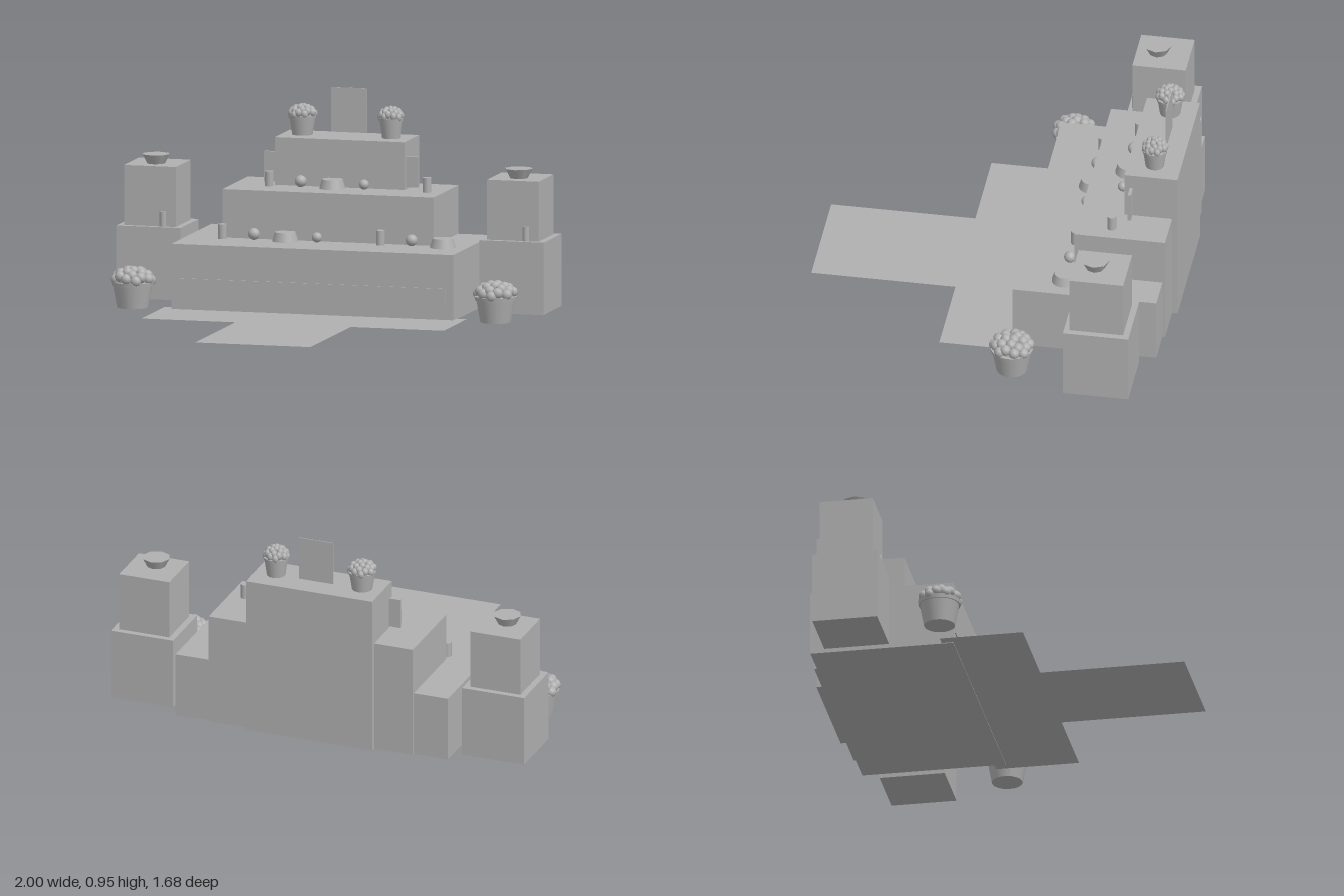
import * as THREE from 'three';

export function createModel() {
  const model = new THREE.Group();
  const grey = new THREE.MeshStandardMaterial({ color: 0xb0b0b0 });
  grey.name = 'plain grey';
  grey.side = THREE.DoubleSide;

  const add = (name, geometry, x, y, z, parent = model) => {
    const mesh = new THREE.Mesh(geometry, grey);
    mesh.name = name;
    mesh.position.set(x, y, z);
    parent.add(mesh);
    return mesh;
  };
  // Box given by its extents
  const block = (name, x0, x1, y0, y1, z0, z1) =>
    add(name, new THREE.BoxGeometry(x1 - x0, y1 - y0, z1 - z0), (x0 + x1) / 2, (y0 + y1) / 2, (z0 + z1) / 2);
  // Round part standing on height y
  const round = (name, rTop, rBottom, h, x, y, z, sides = 16, parent = model) =>
    add(name, new THREE.CylinderGeometry(rTop, rBottom, h, sides), x, y + h / 2, z, parent);

  // Stepped display tiers, each reaching the ground
  block('lowerTier', -0.66, 0.66, 0, 0.3, -0.803, -0.147);
  block('middleTier', -0.495, 0.495, 0, 0.52, -0.815, -0.402);
  block('upperTier', -0.305, 0.305, 0, 0.737, -0.84, -0.598);
  block('frontPanel', -0.625, 0.625, 0.065, 0.145, -0.147, -0.142);
  block('backBoard', -0.362, 0.362, 0.53, 0.668, -0.637, -0.622);
  block('topSign', -0.083, 0.083, 0.75, 0.953, -0.752, -0.748);

  // Floor carpet: wide strip and runner
  const carpet = (name, x, z0, z1) => {
    const g = new THREE.PlaneGeometry(2 * x, z1 - z0).rotateX(-Math.PI / 2);
    add(name, g, 0, 0.003, (z0 + z1) / 2);
  };
  carpet('wideCarpet', 0.708, -0.2, 0.18);
  carpet('carpetRunner', 0.27, 0.18, 0.84);

  // Goods on the steps
  const goods = {
    jar: (x, y, z) => round('jar', 0.02, 0.02, 0.067, x, y, z, 12),
    fruit: (x, y, z, r) => add('fruit', new THREE.SphereGeometry(r, 14, 10), x, y + r, z),
    cake: (x, y, z) => round('cake', 0.047, 0.059, 0.042, x, y, z, 18),
  };
  const rows = [
    [0.3, -0.366, [['jar', -0.485], ['fruit', -0.337, 0.027], ['cake', -0.19], ['fruit', -0.042, 0.023],
      ['jar', 0.255], ['fruit', 0.403, 0.027], ['cake', 0.55]]],
    [0.52, -0.56, [['jar', -0.32], ['fruit', -0.173, 0.027], ['cake', -0.025], ['fruit', 0.123, 0.023],
      ['jar', 0.42]]],
  ];
  for (const [y, z, items] of rows)
    for (const [kind, x, r] of items) goods[kind](x, y, z, r);

  // Flower pot with a dome of round blossoms
  const flowerPot = (x, y, z, scale, width, turn) => {
    const pot = new THREE.Group();
    pot.name = 'flowerPot';
    round('potBody', 0.09, 0.07, 0.11, 0, 0, 0, 18, pot);
    round('potRim', 0.097, 0.094, 0.018, 0, 0.1, 0, 18, pot);
    const dome = add('foliage', new THREE.SphereGeometry(0.08, 14, 8), 0, 0.118, 0, pot);
    dome.scale.y = 0.6;
    const count = 24;
    for (let i = 0; i < count; i++) {
      const up = 1 - (i + 0.3) / count;
      const ring = Math.sqrt(1 - up * up);
      const a = i * 2.39996;
      add('blossom', new THREE.SphereGeometry(0.025, 10, 7),
        Math.cos(a) * ring * 0.08, 0.122 + up * 0.043, Math.sin(a) * ring * 0.08, pot);
    }
    pot.position.set(x, y, z);
    pot.rotation.y = turn;
    pot.scale.set(width, scale, width);
    model.add(pot);
  };
  flowerPot(-0.21, 0.737, -0.72, 0.75, 0.66, 0.5);
  flowerPot(0.205, 0.737, -0.72, 0.77, 0.6, 2);

  // Side pedestals with bowl, small jar and standing flower pot
  for (const s of [-1, 1]) {
    const x = s * 0.85;
    block('pedestalBase', x - 0.15, x + 0.15, 0, 0.33, -0.732, -0.434);
    block('pedestalTop', x - 0.121, x + 0.121, 0.33, 0.603, -0.704, -0.46);
    round('bowl', 0.064, 0.042, 0.043, x, 0.603, -0.557, 8);
    round('smallJar', 0.016, 0.016, 0.068, x + 0.06, 0.33, -0.464, 12);
    flowerPot(x, 0, -0.175, 1, 1, s);
  }
  return model;
}
